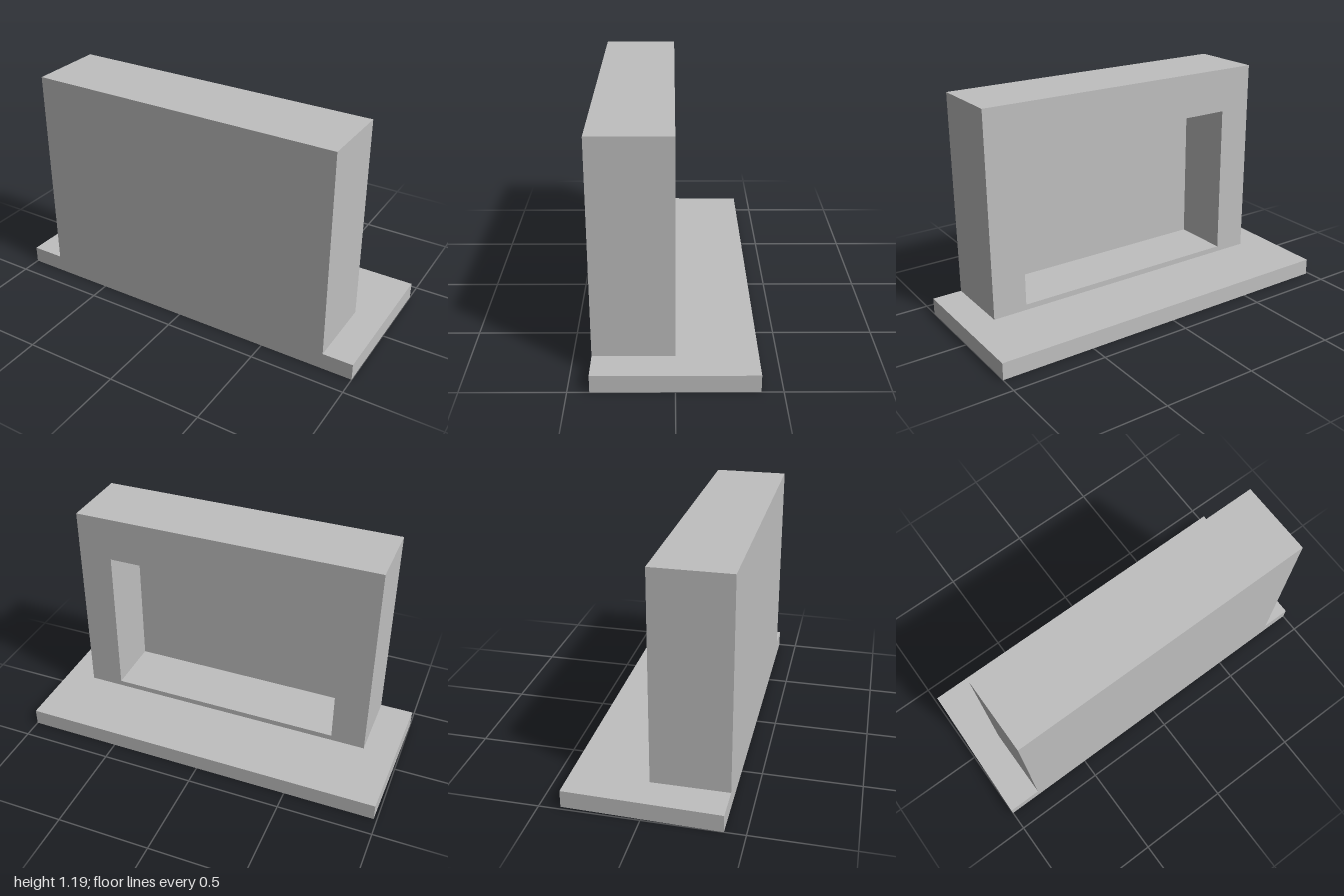
import * as THREE from 'three';

const BASE_TOP = 0.09, WALL_TOP = 1.19, FRONT = 0.396;
const WALL_LEFT = 0.84, WALL_RIGHT = -0.82;
const RECESS_END = 0.32; // z where the recess, open at the back, stops

const polygon = (points, Kind = THREE.Shape) =>
  new Kind(points.map(([x, y]) => new THREE.Vector2(x, y)));
const rectangle = (x0, x1, y0, y1, Kind) =>
  polygon([[x0, y0], [x1, y0], [x1, y1], [x0, y1]], Kind);
const extrude = (shape, depth) =>
  new THREE.ExtrudeGeometry(shape, { depth, bevelEnabled: false });

export function createModel() {
  const group = new THREE.Group();
  const grey = new THREE.MeshStandardMaterial({ color: 0xbfbfbf });
  grey.name = 'light grey';

  const add = (name, geometry) => {
    const mesh = new THREE.Mesh(geometry, grey);
    mesh.name = name;
    group.add(mesh);
  };

  // Base slab, slightly tapered at its right rear corner
  const outline = polygon([[-1, -FRONT], [1, -FRONT], [1, FRONT], [-0.983, FRONT]]);
  add('base', extrude(outline, BASE_TOP).rotateX(-Math.PI / 2));

  // Frame around the recess
  const frame = rectangle(WALL_RIGHT, WALL_LEFT, BASE_TOP, WALL_TOP);
  frame.holes.push(rectangle(-0.635, 0.655, 0.12, 0.95, THREE.Path));
  add('recessFrame', extrude(frame, RECESS_END));

  // Solid panel closing the front
  const panel = rectangle(WALL_RIGHT, WALL_LEFT, BASE_TOP, WALL_TOP);
  add('frontPanel', extrude(panel, FRONT - RECESS_END).translate(0, 0, RECESS_END));

  return group;
}
